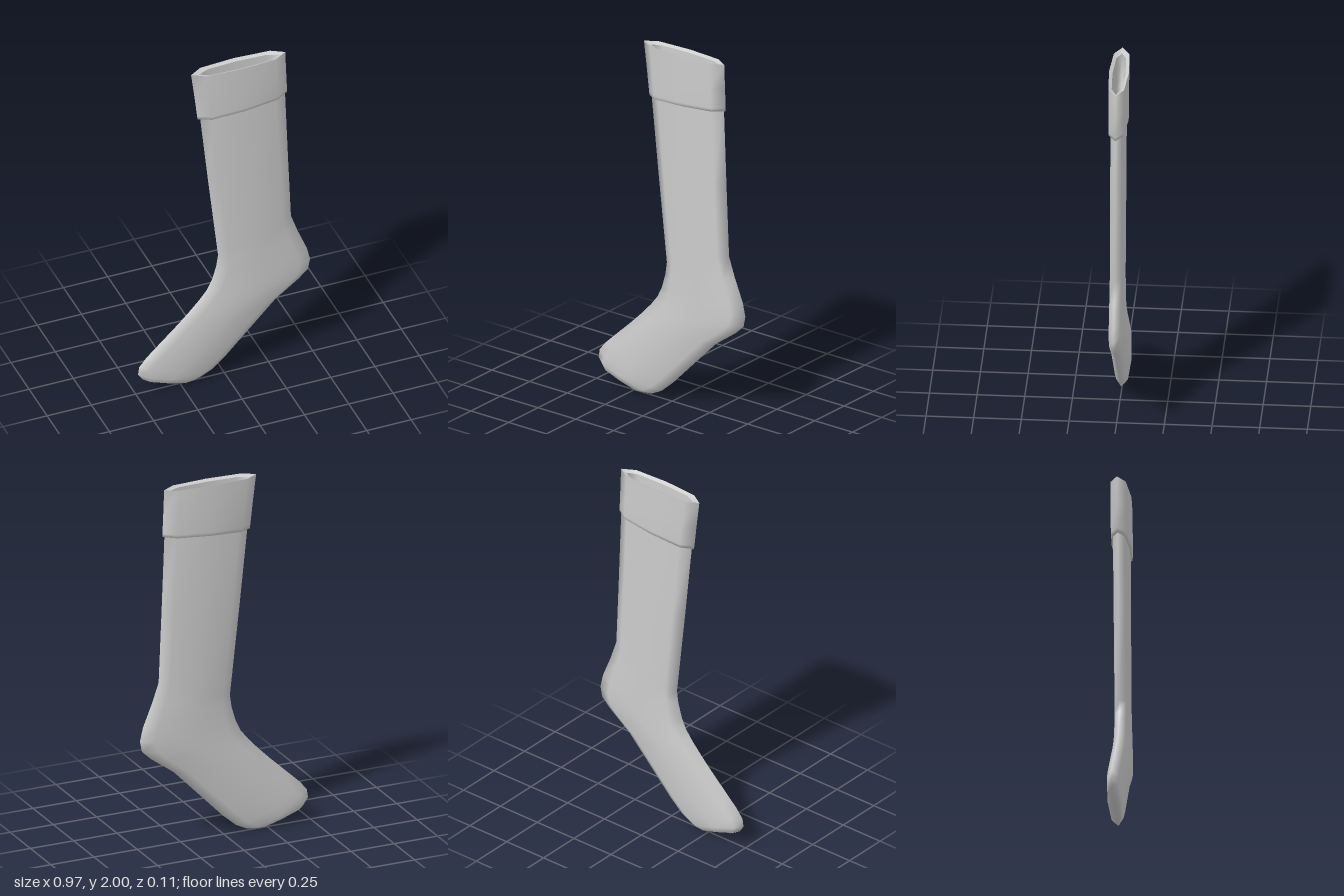
import * as THREE from 'three';
import { mergeVertices } from 'three/addons/utils/BufferGeometryUtils.js';

// Flat eight-sided section: [position from front edge to back edge, share of half thickness]
const SECTION = [[0, 0], [0.13, 0.77], [0.5, 1], [0.87, 0.77], [1, 0], [0.87, -0.77], [0.5, -1], [0.13, -0.77]];

// Skin through rings [frontX, frontY, backX, backY, halfThickness], listed from top to bottom
function loft(rings) {
  const n = SECTION.length, positions = [], index = [];
  for (const [fx, fy, bx, by, h] of rings) {
    for (const [t, s] of SECTION) positions.push(fx + (bx - fx) * t, fy + (by - fy) * t, h * s);
  }
  for (let i = 0; i < rings.length - 1; i++) {
    for (let j = 0; j < n; j++) {
      const a = i * n + j, b = i * n + (j + 1) % n;
      index.push(a, a + n, b, b, a + n, b + n);
    }
  }
  let geometry = new THREE.BufferGeometry();
  geometry.setAttribute('position', new THREE.Float32BufferAttribute(positions, 3));
  geometry.setIndex(index);
  geometry = mergeVertices(geometry, 1e-5);
  geometry.computeVertexNormals();
  return geometry;
}

export function createModel() {
  const group = new THREE.Group();
  group.name = 'stocking';
  const material = new THREE.MeshStandardMaterial({ color: 0xcccccc });
  const add = (name, rings) => {
    const mesh = new THREE.Mesh(loft(rings), material);
    mesh.name = name;
    group.add(mesh);
  };

  // Leg, heel, foot and toe in one skin
  add('legAndFoot', [
    [-0.14, 1.74, 0.342, 1.78, 0.04],
    [-0.09, 1.27, 0.36, 1.32, 0.04],
    [-0.035, 0.78, 0.377, 0.92, 0.04],
    [-0.045, 0.71, 0.415, 0.81, 0.04],
    [-0.068, 0.63, 0.468, 0.68, 0.04],
    [-0.097, 0.57, 0.485, 0.605, 0.04],
    [-0.14, 0.515, 0.473, 0.545, 0.04],
    [-0.2, 0.45, 0.42, 0.495, 0.04],
    [-0.265, 0.385, 0.29, 0.4, 0.04],
    [-0.35, 0.305, 0.14, 0.245, 0.04],
    [-0.44, 0.22, 0.01, 0.11, 0.04],
    [-0.48, 0.17, -0.07, 0.04, 0.039],
    [-0.487, 0.125, -0.135, 0.008, 0.037],
    [-0.46, 0.085, -0.195, 0.0, 0.03],
    [-0.4, 0.05, -0.27, 0.016, 0],
  ]);

  // Folded cuff: outer wall with the lip turned under
  add('cuff', [
    [-0.187, 2.0, 0.345, 2.0, 0.053],
    [-0.168, 1.85, 0.35, 1.87, 0.053],
    [-0.153, 1.72, 0.355, 1.755, 0.053],
    [-0.15, 1.7, 0.354, 1.737, 0.05],
    [-0.132, 1.7, 0.338, 1.737, 0.038],
  ]);

  // Flat top rim
  add('cuffRim', [
    [-0.142, 1.99, 0.31, 1.99, 0.034],
    [-0.187, 2.0, 0.345, 2.0, 0.053],
  ]);

  // Hollow inside the opening
  add('cuffInside', [
    [-0.03, 1.7, 0.24, 1.7, 0],
    [-0.045, 1.7, 0.255, 1.7, 0.022],
    [-0.105, 1.82, 0.285, 1.82, 0.03],
    [-0.142, 1.99, 0.31, 1.99, 0.034],
  ]);

  return group;
}
